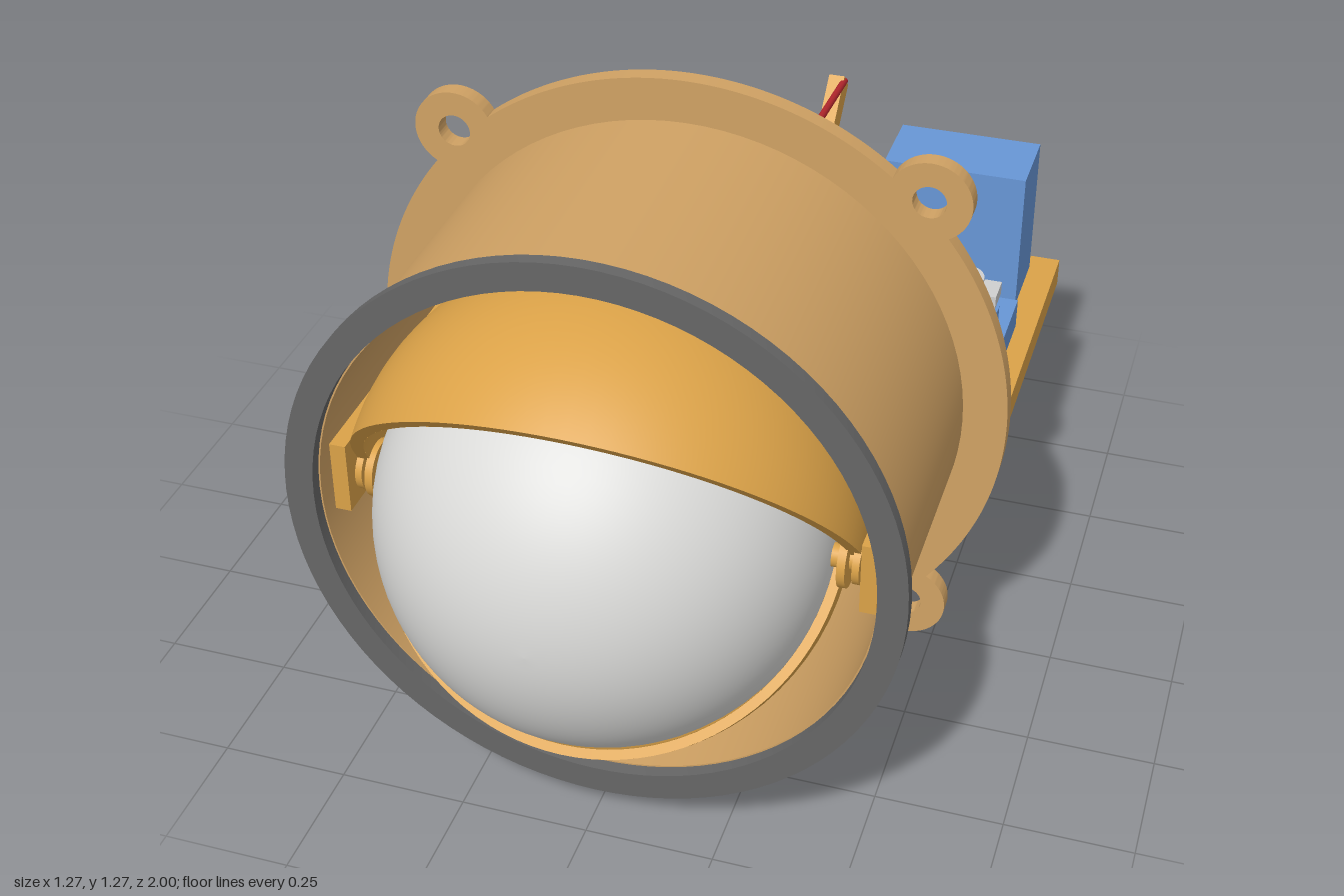
import * as THREE from 'three';
import { mergeGeometries, toCreasedNormals } from 'three/addons/utils/BufferGeometryUtils.js';

const V = (x, y, z) => new THREE.Vector3(x, y, z);
const CY = 0.637, EYE_Z = 0.58;

export function createModel() {
  const model = new THREE.Group();
  const mat = (name, color) => {
    const m = new THREE.MeshStandardMaterial({ color, side: THREE.DoubleSide });
    m.name = name;
    return m;
  };
  const tan = mat('housing tan', 0xd0a264);
  const gold = mat('printed gold', 0xdba248);
  const blue = mat('servo blue', 0x6796d6);
  const white = mat('eye white', 0xdadad8);
  const pale = mat('horn grey', 0xcfcfcf);
  const dark = mat('rim grey', 0x666666);
  const red = mat('rod red', 0xb8282e);

  const add = (name, geo, material) => {
    const m = new THREE.Mesh(geo, material);
    m.name = name;
    model.add(m);
    return m;
  };
  // box from its limits on each axis
  const box = (name, m, x0, x1, y0, y1, z0, z1) => {
    const g = new THREE.BoxGeometry(x1 - x0, y1 - y0, z1 - z0);
    return add(name, g.translate((x0 + x1) / 2, (y0 + y1) / 2, (z0 + z1) / 2), m);
  };
  // round bar between two points
  const bar = (name, m, a, b, r0, r1 = r0, seg = 32) => {
    const o = add(name, new THREE.CylinderGeometry(r1, r0, a.distanceTo(b), seg), m);
    o.position.copy(a).add(b).multiplyScalar(0.5);
    o.quaternion.setFromUnitVectors(V(0, 1, 0), b.clone().sub(a).normalize());
    return o;
  };
  // hollow ring around the eye axis
  const ring = (name, m, ri, ro, z0, z1) => {
    const p = [[ri, z0], [ro, z0], [ro, z1], [ri, z1], [ri, z0]].map(q => new THREE.Vector2(...q));
    const g = toCreasedNormals(new THREE.LatheGeometry(p, 96), 0.6);
    return add(name, g.rotateX(Math.PI / 2).translate(0, CY, 0), m);
  };

  // Housing tube and front rim
  ring('housingTube', tan, 0.522, 0.55, 0.09, 0.67);
  ring('frontRim', dark, 0.525, 0.58, 0.67, 0.695);

  // Rear flange with four screw ears
  const R = 0.635, d = 0.652, r = 0.08;
  const a = Math.acos((R * R + d * d - r * r) / (2 * R * d));
  const b = Math.acos((d * d + r * r - R * R) / (2 * d * r));
  const flange = new THREE.Shape();
  for (let k = 0; k < 4; k++) {
    const t = Math.PI / 4 + k * Math.PI / 2, x = d * Math.cos(t), y = d * Math.sin(t);
    flange.absarc(x, y, r, t + Math.PI + b, t + 3 * Math.PI - b, false);
    flange.absarc(0, 0, R, t + a, t + Math.PI / 2 - a, false);
    flange.holes.push(new THREE.Path().absarc(x, y, 0.032, 0, Math.PI * 2, true));
  }
  flange.holes.push(new THREE.Path().absarc(0, 0, 0.522, 0, Math.PI * 2, true));
  const flangeGeo = new THREE.ExtrudeGeometry(flange, { depth: 0.035, bevelEnabled: false, curveSegments: 40 });
  add('rearFlange', toCreasedNormals(flangeGeo.translate(0, CY, 0.08), 0.5), tan);

  // Eyeball: shell open at the back
  const eye = [];
  for (let i = 0; i <= 40; i++) {
    const t = Math.PI * (0.36 - 0.86 * i / 40) * -1;
    eye.push(new THREE.Vector2(Math.max(0, 0.42 * Math.cos(t)), 0.42 * Math.sin(t)));
  }
  eye[40].x = 0;
  eye.splice(0, 12);
  const eyeGeo = new THREE.LatheGeometry(eye, 72).rotateX(Math.PI / 2);
  add('eyeball', eyeGeo.translate(0, CY, EYE_Z), white);

  // Eyelids: thick shells hinged about the x axis
  const lid = (name, ro, ri, phi) => {
    const p = [];
    for (let i = 0; i <= 40; i++) {
      const t = -Math.PI / 2 + Math.PI * i / 40;
      p.push(new THREE.Vector2(Math.max(0, ro * Math.cos(t)), ro * Math.sin(t)));
    }
    const inner = p.map(q => q.clone().multiplyScalar(ri / ro)).reverse();
    const shell = f => new THREE.LatheGeometry(f, 40, phi, Math.PI / 2);
    const cap = t => new THREE.RingGeometry(ri, ro, 48, 1, -Math.PI / 2, Math.PI).rotateY(t - Math.PI / 2);
    const g = mergeGeometries([shell(p), shell(inner), cap(phi), cap(phi + Math.PI / 2)]);
    add(name, g.rotateZ(-Math.PI / 2).translate(0, CY, EYE_Z), gold);
  };
  const deg = Math.PI / 180;
  lid('upperEyelid', 0.476, 0.452, -141 * deg);
  lid('lowerEyelid', 0.442, 0.424, 51 * deg);
  box('upperLidTab', gold, 0.06, 0.12, 0.9, 0.965, 0.16, 0.24);
  box('lowerLidTab', gold, -0.13, -0.07, 0.32, 0.38, 0.2, 0.27);

  // Side arms, posts and lid hinges
  for (const s of [-1, 1]) {
    const side = (name, x0, x1, ...yz) => box(name, gold, Math.min(s * x0, s * x1), Math.max(s * x0, s * x1), ...yz);
    side('sideArm', 0.482, 0.513, 0.57, 0.715, -0.15, 0.64);
    side('armTab', 0.457, 0.513, 0.57, 0.715, -0.152, -0.1);
    side('armPost', 0.46, 0.513, 0.366, 0.6, -0.1, -0.04);
    bar('hingePin', gold, V(s * 0.41, CY, EYE_Z), V(s * 0.525, CY, EYE_Z), 0.022);
    bar('hingeDisc', gold, V(s * 0.437, CY, EYE_Z), V(s * 0.452, CY, EYE_Z), 0.055);
    bar('hingeWasher', gold, V(s * 0.462, CY, EYE_Z), V(s * 0.475, CY, EYE_Z), 0.045);
  }

  // Central post with the universal joint behind the eye
  bar('centrePost', gold, V(0, 0.645, -0.125), V(0, 0.645, 0.36), 0.078, 0.1);
  box('jointBlock', pale, -0.07, 0.07, 0.57, 0.71, 0.36, 0.5);
  box('jointCrossbar', pale, -0.3, 0.3, 0.61, 0.67, 0.43, 0.48);
  box('jointUpright', pale, -0.03, 0.03, 0.4, 0.88, 0.43, 0.48);

  // Base plate with its cutout
  const plate = new THREE.Shape([[-0.58, 0.1], [0.58, 0.1], [0.58, 0.868], [-0.58, 0.868]].map(q => new THREE.Vector2(...q)));
  plate.holes.push(new THREE.Path([[-0.14, 0.17], [-0.14, 0.73], [0.02, 0.73], [0.02, 0.17]].map(q => new THREE.Vector2(...q))));
  const plateGeo = new THREE.ExtrudeGeometry(plate, { depth: 0.062, bevelEnabled: false });
  add('basePlate', plateGeo.rotateX(-Math.PI / 2).translate(0, 0.367, 0), gold);

  // Upper lid servo, crank and rod
  box('upperLidServo', blue, 0.21, 0.52, 0.43, 0.745, -0.818, -0.645);
  bar('upperLidServoNeck', blue, V(0.08, 0.52, -0.732), V(0.21, 0.52, -0.732), 0.08);
  bar('upperLidHub', gold, V(-0.01, 0.52, -0.732), V(0.08, 0.52, -0.732), 0.048);
  // Lower lid servo, crank and rod
  box('lowerLidServo', blue, -0.525, -0.22, 0.43, 0.745, -0.555, -0.383);
  bar('lowerLidServoNeck', blue, V(-0.22, 0.52, -0.469), V(-0.085, 0.52, -0.469), 0.08);
  bar('lowerLidHub', gold, V(-0.085, 0.52, -0.469), V(0.02, 0.52, -0.469), 0.048);
  // flat crank in the y-z plane
  const crank = (name, x, y0, z0, y1, z1) => {
    const o = add(name, new THREE.BoxGeometry(0.036, Math.hypot(y1 - y0, z1 - z0), 0.056), gold);
    o.position.set(x, (y0 + y1) / 2, (z0 + z1) / 2);
    o.rotation.x = Math.atan2(z1 - z0, y1 - y0);
  };
  crank('upperLidCrank', 0.02, 0.5, -0.715, 0.75, -0.98);
  crank('lowerLidCrank', -0.027, 0.54, -0.46, 0.19, -0.603);

  // Tilt servo with an upright horn
  box('tiltServo', blue, -0.465, -0.145, 0.43, 0.745, -0.335, -0.165);
  bar('tiltServoNeck', blue, V(-0.15, 0.665, -0.248), V(-0.018, 0.665, -0.248), 0.083);
  bar('tiltHornHub', pale, V(-0.018, 0.665, -0.248), V(0.033, 0.665, -0.248), 0.045);
  box('tiltHorn', pale, -0.005, 0.025, 0.66, 0.83, -0.275, -0.212);

  // Pan servo hanging through the plate, with a sideways horn
  box('panServo', blue, 0.362, 0.537, 0.185, 0.495, -0.565, -0.25);
  bar('panServoNeck', blue, V(0.45, 0.495, -0.33), V(0.45, 0.615, -0.33), 0.083);
  bar('panHornHub', pale, V(0.45, 0.615, -0.33), V(0.45, 0.68, -0.33), 0.048);
  box('panHorn', pale, 0.21, 0.53, 0.632, 0.66, -0.363, -0.3);

  // Push rods with end pins
  const rods = [
    ['upperLidRod', V(0.035, 0.752, -0.975), V(0.1, 0.94, 0.2)],
    ['lowerLidRod', V(-0.045, 0.195, -0.6), V(-0.1, 0.35, 0.235)],
    ['tiltRod', V(-0.025, 0.825, -0.245), V(-0.015, 0.81, 0.46)],
    ['panRod', V(0.21, 0.67, -0.33), V(0.21, 0.655, 0.45)],
  ];
  for (const [name, p, q] of rods) {
    bar(name, red, p, q, 0.008, 0.008, 10);
    const side = name === 'panRod' ? V(0, 0.04, 0) : V(0.03, 0, 0);
    bar(name + 'Pin', red, p.clone().sub(side), p, 0.008, 0.008, 10);
  }
  return model;
}
